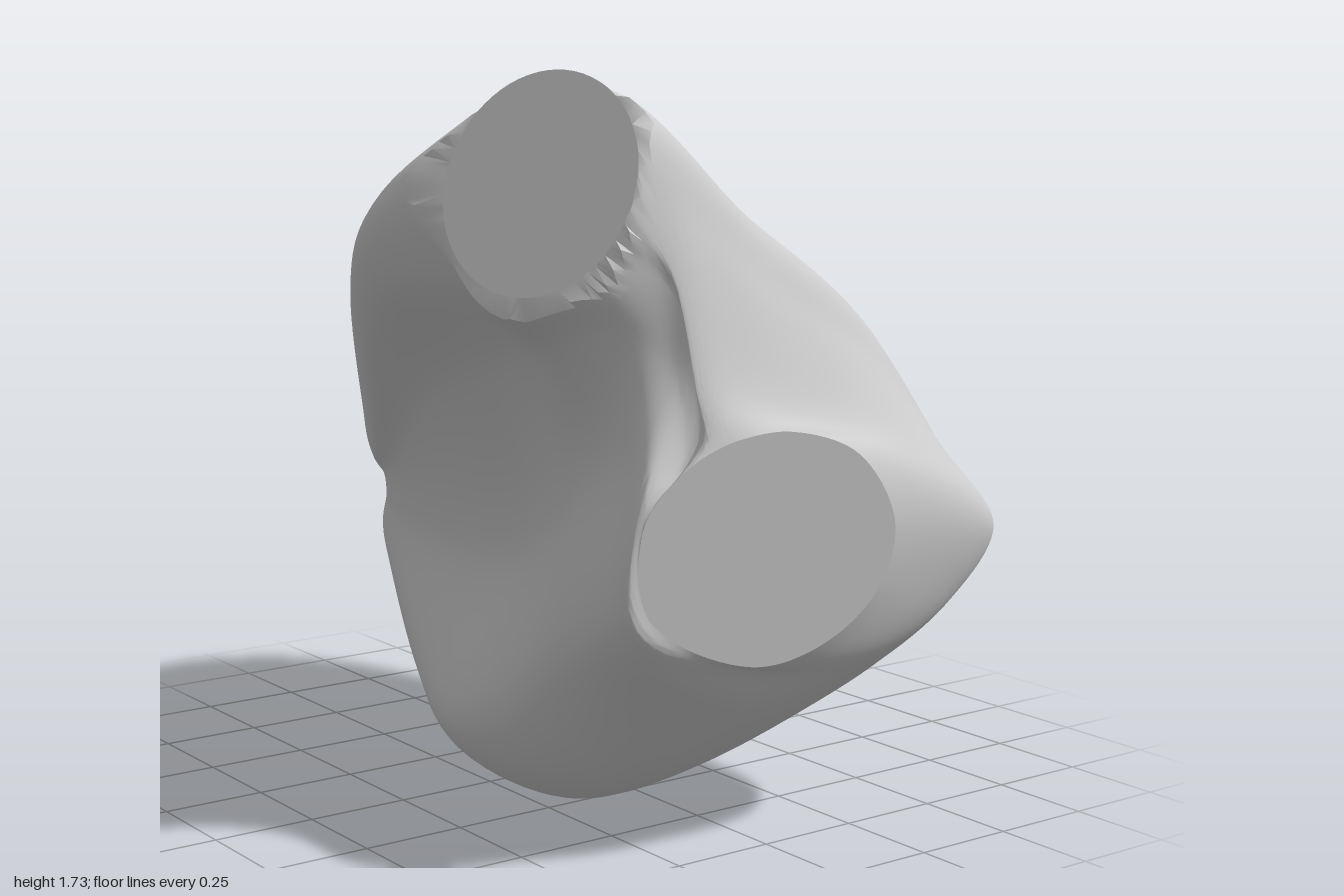
import * as THREE from 'three';
import { toCreasedNormals } from 'three/addons/utils/BufferGeometryUtils.js';

// Crescent cross-sections from apex to front. Each has its z, the centre and
// radius of the outflow horn, and four points round the rest of the wall.
const sections = [
  { z: -.8, horn: [-.06, .84, .11], right: [.29, .58], bottom: [.08, .25], lobe: [-.04, .36], hollow: [-.02, .53] },
  { z: -.4, horn: [-.32, 1.2, .12], right: [.41, .62], bottom: [-.04, .07], lobe: [-.21, .2], hollow: [-.09, .52] },
  { z: 0, horn: [-.5, 1.38, .13], right: [.53, .64], bottom: [-.18, .01], lobe: [-.38, .18], hollow: [-.18, .58] },
  { z: .3, horn: [-.49, 1.48, .19], right: [.57, .66], bottom: [-.2, .03], lobe: [-.42, .26], hollow: [-.27, .72] },
  { z: .55, horn: [-.54, 1.51, .25], right: [.58, .68], bottom: [-.15, .15], lobe: [-.43, .43], hollow: [-.34, .9] },
  { z: .72, horn: [-.45, 1.5, .18], right: [.58, .68], bottom: [-.1, .28], lobe: [-.45, .52], hollow: [-.37, .95] },
  { z: .8, horn: [-.31, 1.35, .06], right: [.57, .68], bottom: [-.1, .36], lobe: [-.45, .56], hollow: [-.4, .92] },
  { z: .87, horn: [-.28, 1.04, .04], right: [.52, .71], bottom: [-.1, .44], lobe: [-.44, .58], hollow: [-.43, .86] },
];
const ovalAngles = [128, 118, 108, 85, 50, 8, -25, -58, -92, -150, -195, -215];

// Point between a and b, pushed out to the left of the line by a share of its length
function bulge(a, b, t, amount) {
  const dx = b[0] - a[0], dy = b[1] - a[1];
  return [a[0] + dx * t - dy * amount, a[1] + dy * t + dx * amount];
}

// Twelve outline points, clockwise from the lower corner of the horn
function outline({ horn: [cx, cy, r], right, bottom, lobe, hollow }) {
  const low = [cx - .33 * r, cy - .94 * r];
  const left = [cx - .56 * r, cy + .2 * r];
  const top = [cx + .33 * r, cy + .94 * r];
  return [low, left, top, bulge(top, right, .3, .05), bulge(top, right, .62, .1), right,
    bulge(right, bottom, .25, .15), bulge(right, bottom, .6, .17), bottom,
    lobe, hollow, bulge(hollow, low, .55, -.12)];
}

// Lift an outline to depth z, leaning with x and y
function ring(points, z, leanX = 0, leanY = 0) {
  return points.map(([x, y]) => new THREE.Vector3(x, y, z + leanX * (x + .15) + leanY * (y - .73)));
}

function toGeometry(points, index) {
  const g = new THREE.BufferGeometry().setFromPoints(points);
  g.setIndex(index);
  return g;
}

export function createModel() {
  const group = new THREE.Group();
  const material = new THREE.MeshStandardMaterial({ color: 0xcccccc });
  function add(name, geometry) {
    const mesh = new THREE.Mesh(geometry, material);
    mesh.name = name;
    group.add(mesh);
    return mesh;
  }

  // Control rings from the rounded apex to the oval inflow opening
  const apex = outline(sections[0]);
  const rings = [[-1, 0], [-.997, .13], [-.985, .28], [-.95, .52]].map(([z, s]) =>
    ring(apex.map(([x, y]) => [.1 + (x - .1) * s, .56 + (y - .56) * s]), z));
  sections.forEach((s, i) => {
    const lean = i === sections.length - 1 ? [.08, .05] : [0, 0];
    rings.push(ring(outline(s), s.z, ...lean));
  });
  const oval = ovalAngles.map(a => {
    const r = THREE.MathUtils.degToRad(a);
    return [-.15 + .3 * Math.cos(r), .73 + .26 * Math.sin(r)];
  });
  rings.push(ring(oval, .92, .23, .12));

  // Smooth lengthwise, then around each ring
  const ROWS = 96, COLS = 120, RADIUS = .25;
  const lengthwise = ovalAngles.map((_, i) => new THREE.CatmullRomCurve3(rings.map(r => r[i])));
  const normal = new THREE.Vector3(-.9, .31, .31).normalize();
  const mouth = new THREE.Vector3(-.47, 1.5, .53);
  const points = [];
  for (let i = 0; i <= ROWS; i++) {
    const loop = new THREE.CatmullRomCurve3(lengthwise.map(c => c.getPoint(i / ROWS)), true);
    for (let j = 0; j < COLS; j++) {
      const p = loop.getPoint(j / COLS).sub(mouth);
      const over = normal.dot(p);
      // Cut the outflow horn off flat, inside a round rim
      if (over > 0) p.addScaledVector(normal, -over).clampLength(0, RADIUS);
      points.push(p.add(mouth));
    }
  }
  const index = [];
  for (let i = 0; i < ROWS; i++) {
    for (let j = 0; j < COLS; j++) {
      const k = (j + 1) % COLS;
      const a = i * COLS + j, b = i * COLS + k, c = a + COLS, d = b + COLS;
      if (i > 0) index.push(a, c, b);
      index.push(b, c, d);
    }
  }
  add('chamberWall', toCreasedNormals(toGeometry(points, index), .7));

  // Flat disc closing the outflow horn
  const outflow = add('outflowDisc', new THREE.CircleGeometry(RADIUS, 64));
  outflow.position.copy(mouth).addScaledVector(normal, .003);
  outflow.quaternion.setFromUnitVectors(new THREE.Vector3(0, 0, 1), normal);

  // Flat disc closing the inflow opening
  const rim = points.slice(ROWS * COLS);
  const fan = [];
  for (let j = 0; j < COLS; j++) fan.push(COLS, (j + 1) % COLS, j);
  const inflow = toGeometry([...rim, new THREE.Vector3(-.15, .73, .92)], fan);
  inflow.computeVertexNormals();
  add('inflowDisc', inflow);

  return group;
}
